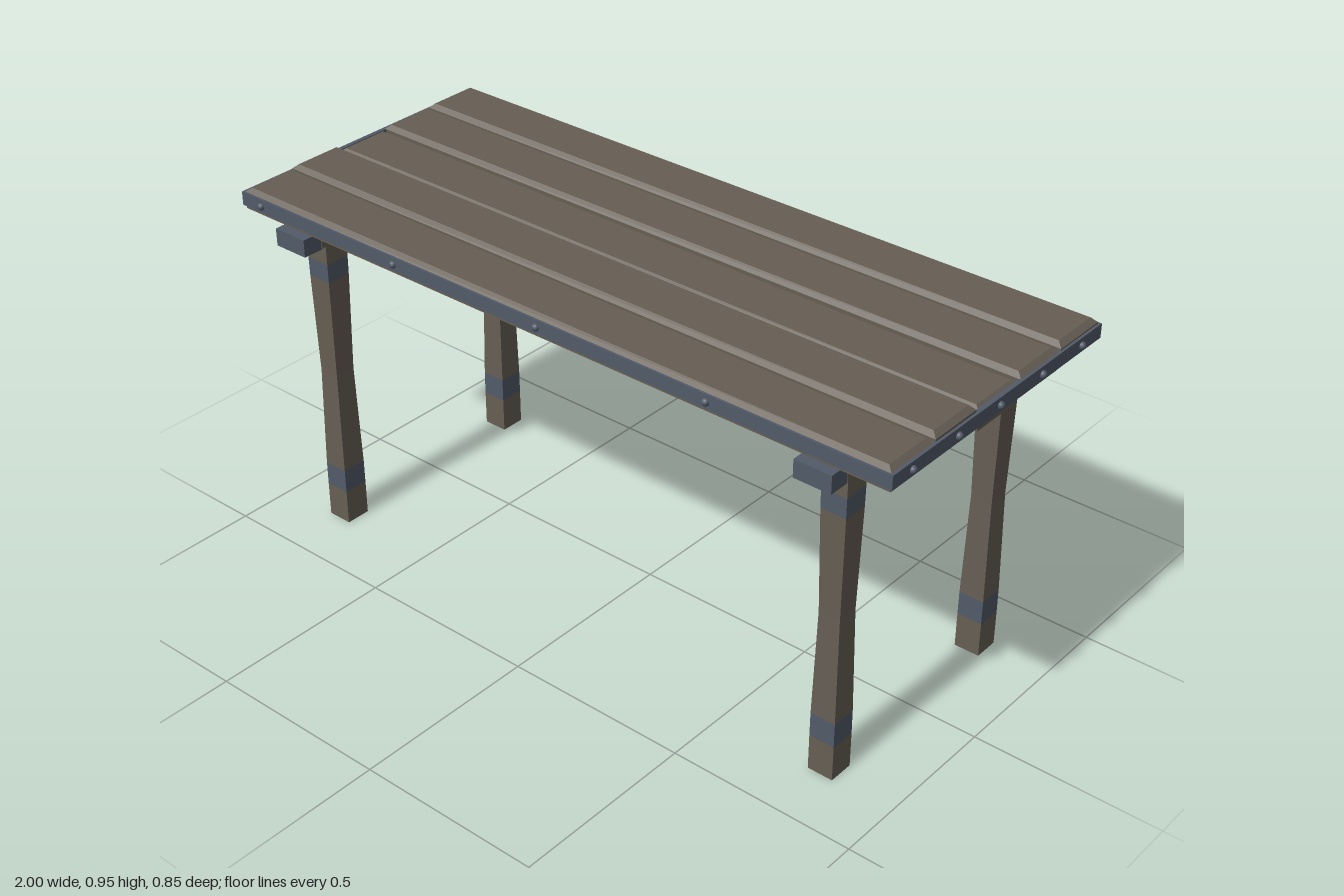
import * as THREE from 'three';

export function createModel() {
  const model = new THREE.Group();
  const wood = new THREE.MeshStandardMaterial({ color: 0x665e54 });
  wood.name = 'weathered wood';
  const steel = new THREE.MeshStandardMaterial({ color: 0x525b69 });
  steel.name = 'dull steel';

  function add(name, geometry, material, x = 0, y = 0, z = 0, parent = model) {
    const mesh = new THREE.Mesh(geometry, material);
    mesh.name = name;
    mesh.position.set(x, y, z);
    parent.add(mesh);
    return mesh;
  }

  // Move the vertices of a box by a rule, then give it flat faces
  function shapedBox(w, h, d, rows, rule) {
    const g = new THREE.BoxGeometry(w, h, d, 1, rows, 1).toNonIndexed();
    const p = g.attributes.position;
    const v = new THREE.Vector3();
    for (let i = 0; i < p.count; i++) {
      rule(v.fromBufferAttribute(p, i));
      p.setXYZ(i, v.x, v.y, v.z);
    }
    g.computeVertexNormals();
    return g;
  }

  // Planks with bevelled upper edges, each at a slightly different height
  const planks = [
    // z centre, width, bottom, top
    [0.325, 0.152, 0.892, 0.949],
    [0.168, 0.152, 0.897, 0.955],
    [0.005, 0.154, 0.884, 0.941],
    [-0.158, 0.154, 0.891, 0.949],
    [-0.322, 0.156, 0.895, 0.953],
  ];
  for (const [z, width, bottom, top] of planks) {
    const h = top - bottom;
    const g = shapedBox(1.964, h, width, 2, (v) => {
      if (v.y > h * 0.25) {
        v.x -= Math.sign(v.x) * 0.014;
        v.z -= Math.sign(v.z) * 0.011;
      } else if (v.y > -h * 0.25) {
        v.y = h / 2 - 0.012;
      }
    });
    add('plank', g, wood, 0, (top + bottom) / 2, z);
  }

  // Steel band around the table top
  for (const s of [-1, 1]) {
    add('sideRim', new THREE.BoxGeometry(1.976, 0.037, 0.012), steel, 0, 0.919, s * 0.4);
    add('endRim', new THREE.BoxGeometry(0.012, 0.037, 0.812), steel, s * 0.983, 0.919, 0);
  }

  // Domed rivets
  const rivetGeometry = new THREE.SphereGeometry(0.01, 12, 8);
  const rivet = (x, y, z) => add('rivet', rivetGeometry, steel, x, y, z);
  for (const z of [0.335, 0.167, 0.008, -0.16, -0.322]) {
    for (const s of [-1, 1]) rivet(s * 0.99, 0.918, z);
  }
  for (const x of [-0.92, -0.455, 0.005, 0.5]) rivet(x, 0.918, 0.406);
  for (const x of [-0.9, -0.48, 0.01, 0.48, 0.94]) rivet(x, 0.918, -0.406);
  rivet(0.793, 0.863, -0.418);

  // Cross beam: arched wooden middle between steel end caps
  const arch = new THREE.Shape();
  arch.moveTo(-0.365, 0.841);
  arch.quadraticCurveTo(0, 0.863, 0.365, 0.841);
  arch.lineTo(0.365, 0.887);
  arch.lineTo(-0.365, 0.887);
  arch.closePath();
  const beamGeometry = new THREE.ExtrudeGeometry(arch, { depth: 0.1, bevelEnabled: false, curveSegments: 8 });
  beamGeometry.translate(0, 0, -0.05).rotateY(-Math.PI / 2);

  // Legs: stacked square sections, waisted halfway up, with two steel bands
  const levels = [0, 0.097, 0.163, 0.45, 0.727, 0.78, 0.845];
  const half = (y) => 0.0345 - 0.0055 * Math.max(0, 1 - Math.abs(y - 0.45) / 0.3);

  for (const side of [-1, 1]) {
    const x = side * 0.801;
    add('crossBeam', beamGeometry, wood, x, 0, 0);
    for (const s of [-1, 1]) {
      add('beamCap', new THREE.BoxGeometry(0.1, 0.047, 0.056), steel, x, 0.8635, s * 0.393 + 0.002);

      const leg = new THREE.Group();
      leg.name = s > 0 ? 'frontLeg' : 'backLeg';
      leg.position.set(x, 0, s * 0.302 + 0.004);
      model.add(leg);
      for (let i = 0; i < levels.length - 1; i++) {
        const [a, b] = [levels[i], levels[i + 1]];
        const g = shapedBox(2, b - a, 2, 1, (v) => {
          const r = half(v.y > 0 ? b : a);
          v.x *= r;
          v.z *= r;
        });
        const banded = i === 1 || i === 4;
        add(banded ? 'legBand' : 'legSection', g, banded ? steel : wood, 0, (a + b) / 2, 0, leg);
      }
    }
  }
  return model;
}
